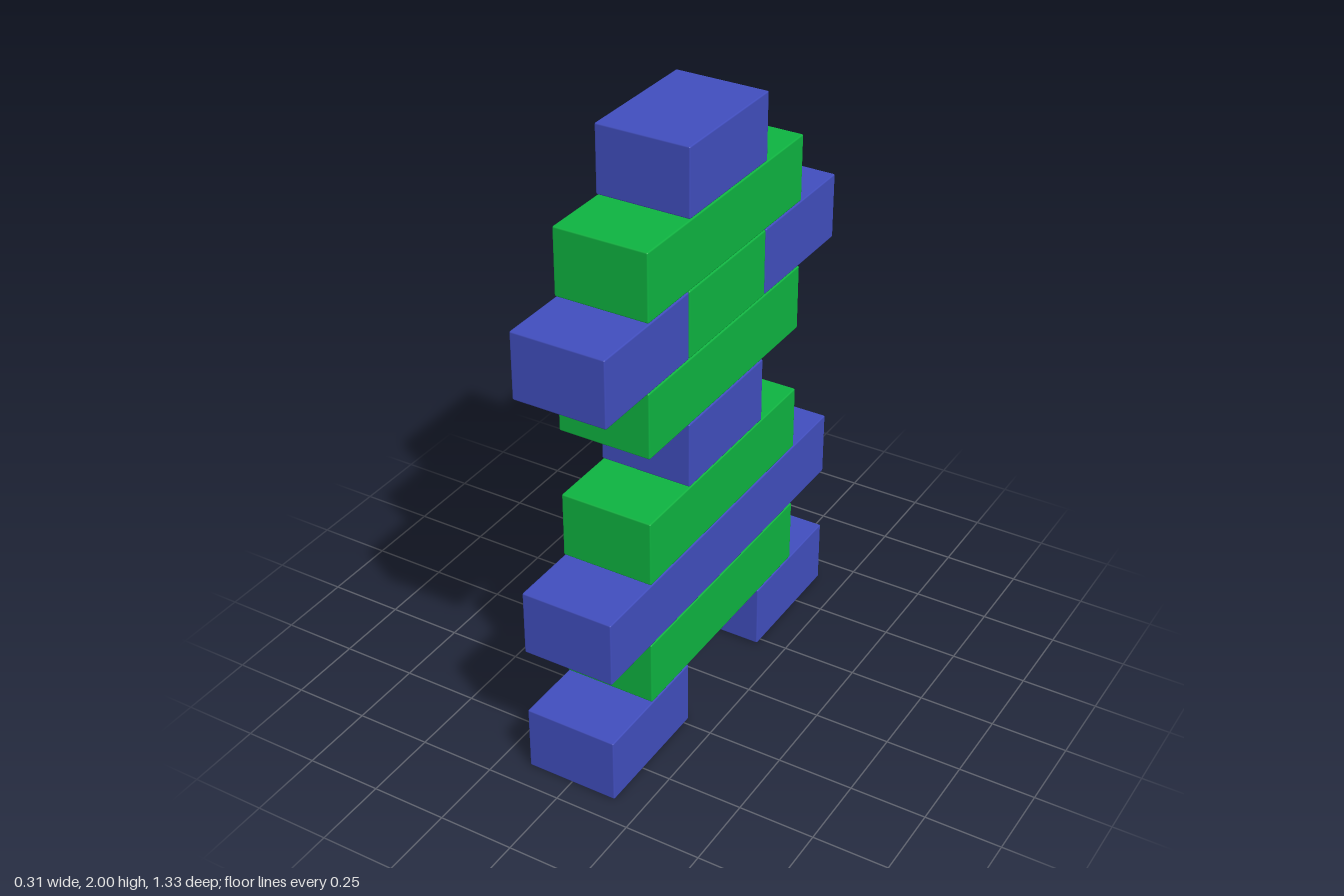
import * as THREE from 'three';
import { RoundedBoxGeometry } from 'three/addons/geometries/RoundedBoxGeometry.js';

const PITCH = 0.2225; // height of one course, with its thin joint
const SIZE = 0.22;    // block height
const WIDTH = 0.31;

export function createModel() {
  const group = new THREE.Group();
  const blue = new THREE.MeshStandardMaterial({ color: 0x414ebf });
  const green = new THREE.MeshStandardMaterial({ color: 0x0eb541 });

  // One block: course number, length along z and centre z
  function block(name, row, length, z, material) {
    const geometry = new RoundedBoxGeometry(WIDTH, SIZE, length, 1, 0.005);
    const mesh = new THREE.Mesh(geometry, material);
    mesh.name = name;
    mesh.position.set(0, row * PITCH + SIZE / 2, z);
    group.add(mesh);
  }

  // Long green planks on every second course
  for (const row of [1, 3, 5, 7]) block('plank' + row, row, 0.887, 0, green);

  // Wide blue beam
  block('wideBeam', 2, 1.332, 0, blue);

  // Single blue blocks at the waist and on top
  block('waistBlock', 4, 0.442, 0, blue);
  block('topBlock', 8, 0.442, 0, blue);

  // Green core between the two arms
  block('coreBlock', 6, 0.442, 0, green);

  // Mirrored feet and arms
  for (const side of [1, -1]) {
    const end = side > 0 ? 'Front' : 'Back';
    block('foot' + end, 0, 0.442, side * 0.445, blue);
    block('arm' + end, 6, 0.442, side * 0.445, blue);
  }

  return group;
}
